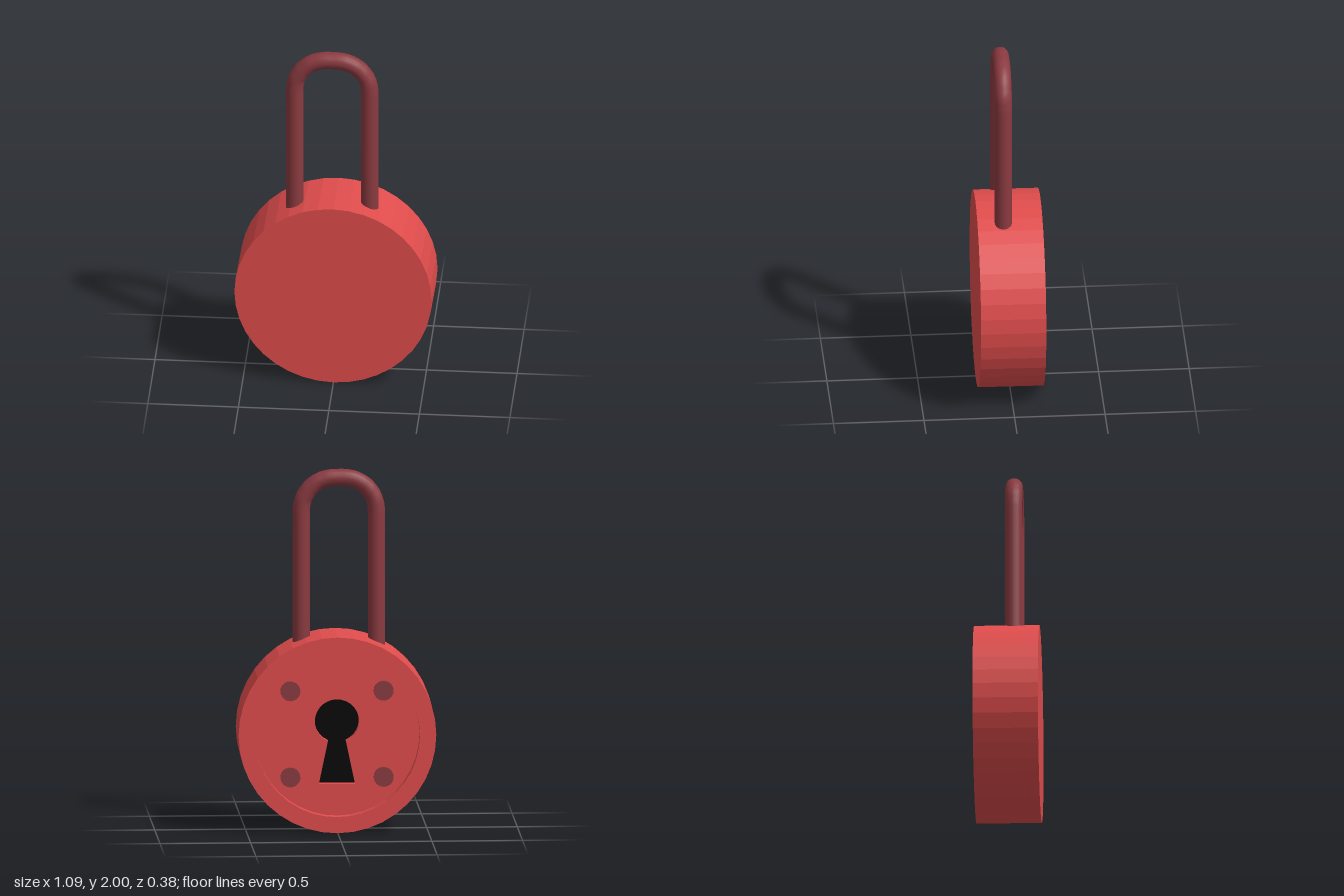
import * as THREE from 'three';

const BODY_R = 0.545, RECESS_R = 0.455, HALF_DEPTH = 0.18, STEP = 0.06, SIDES = 40;

// regular polygon outline used for the round case
function disc(r, Type = THREE.Shape) {
  const pts = [];
  for (let i = 0; i < SIDES; i++) {
    const a = (i / SIDES) * Math.PI * 2;
    pts.push(new THREE.Vector2(r * Math.cos(a), r * Math.sin(a)));
  }
  return new Type(pts);
}

// round top with a flared slot below
function keyholeOutline() {
  const r = 0.122, cy = 0.07, half = 0.42, pts = [];
  for (let i = 0; i <= 24; i++) {
    const a = -Math.PI / 2 + half + (i / 24) * (Math.PI * 2 - 2 * half);
    pts.push(new THREE.Vector2(r * Math.cos(a), cy + r * Math.sin(a)));
  }
  pts.push(new THREE.Vector2(-0.1, -0.28), new THREE.Vector2(0.1, -0.28));
  return new THREE.Path(pts);
}

export function createModel() {
  const red = new THREE.MeshStandardMaterial({ color: 0xe04c4c });
  const darkRed = new THREE.MeshStandardMaterial({ color: 0x8a3a40 });
  const black = new THREE.MeshStandardMaterial({ color: 0x050505 });

  const padlock = new THREE.Group();
  padlock.name = 'padlock';
  const add = (name, geometry, material, x = 0, y = 0, z = 0) => {
    const mesh = new THREE.Mesh(geometry, material);
    mesh.name = name;
    mesh.position.set(x, y, z);
    padlock.add(mesh);
    return mesh;
  };
  const slab = (shape, depth) =>
    new THREE.ExtrudeGeometry(shape, { depth, bevelEnabled: false });

  // case in three layers: solid front, plate with the keyhole, raised rear rim
  const plateZ = -HALF_DEPTH + STEP;
  const floorZ = plateZ + STEP;
  const cy = 0.548;
  const plate = disc(BODY_R);
  plate.holes.push(keyholeOutline());
  const rim = disc(BODY_R);
  rim.holes.push(disc(RECESS_R, THREE.Path));
  add('caseFront', slab(disc(BODY_R), HALF_DEPTH - floorZ), red, 0, cy, floorZ);
  add('keyholePlate', slab(plate, STEP), red, 0, cy, plateZ);
  add('rearRim', slab(rim, STEP), red, 0, cy, -HALF_DEPTH);

  // dark floor inside the keyhole
  const floor = add('keyholeFloor', new THREE.CircleGeometry(0.36, 32), black, 0, cy, floorZ - 0.003);
  floor.rotation.y = Math.PI;

  // four rivets on the rear plate
  for (const sx of [-1, 1]) for (const sy of [-1, 1]) {
    const rivet = add('rivet', new THREE.CylinderGeometry(0.055, 0.055, 0.03, 20), darkRed,
      sx * 0.257, cy + sy * 0.24, plateZ);
    rivet.rotation.x = Math.PI / 2;
  }

  // shackle: two legs, two rounded corners and a short flat top
  const w = 0.2075, r = 0.18, top = 1.952, bottom = 0.95;
  const v = (x, y) => new THREE.Vector3(x, y, 0);
  const pts = [v(-w, bottom)];
  const corner = (cx, from, to) => {
    for (let i = 0; i <= 7; i++) {
      const a = from + (to - from) * (i / 7);
      pts.push(v(cx + r * Math.cos(a), top - r + r * Math.sin(a)));
    }
  };
  corner(-w + r, Math.PI, Math.PI / 2);
  corner(w - r, Math.PI / 2, 0);
  pts.push(v(w, bottom));
  const path = new THREE.CurvePath();
  for (let i = 1; i < pts.length; i++) path.add(new THREE.LineCurve3(pts[i - 1], pts[i]));
  add('shackle', new THREE.TubeGeometry(path, 90, 0.048, 18, false), darkRed, -0.017, 0, 0.037);

  // slight turn about the vertical axis
  padlock.rotation.y = -0.0138;
  const model = new THREE.Group();
  model.add(padlock);
  return model;
}
